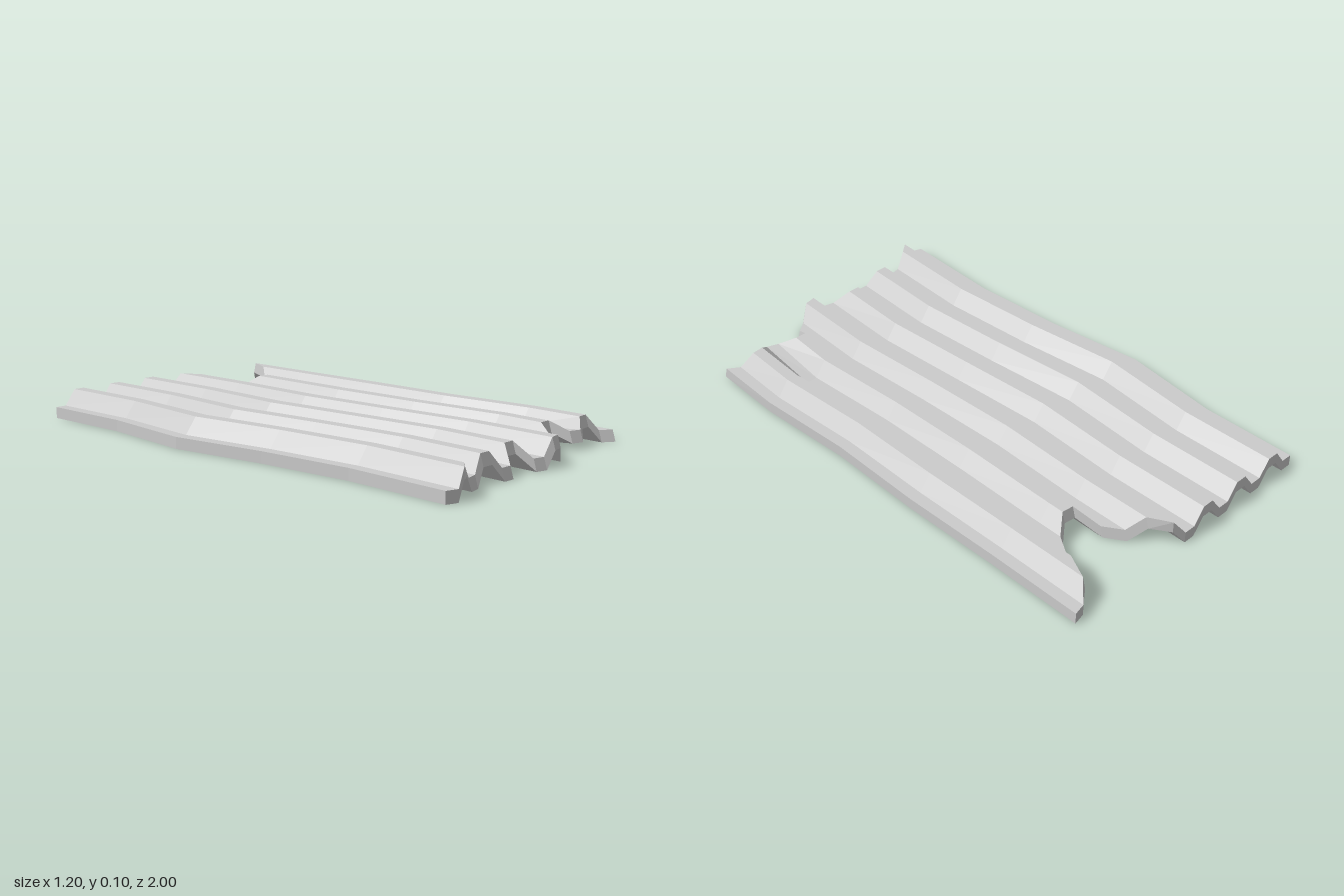
import * as THREE from 'three';

const COLS = 26, STEP = 0.0453, LEFT = -0.552;
const THICK = 0.044, RISE = 0.061;

// Broken ends: z of each fold line at the back and at the front
const backZ = [-1, -1, -1, -1, -1, -1, -1, -1, -1, -1, -1, -1, -1, -1,
  -0.98, -0.91, -0.86, -0.79, -0.70, -0.695, -0.73, -0.80, -0.86, -0.955, -0.99, -1];
const frontZ = [0.985, 1, 0.985, 0.96, 0.945, 0.935, 0.92, 0.92, 0.94, 0.94, 0.88, 0.88, 0.935,
  0.945, 0.945, 0.935, 0.905, 0.87, 0.77, 0.77, 0.83, 0.845, 0.81, 0.805, 0.835, 0.865];

// Sideways bends along the length: [z, shift at left edge, shift at right edge]
const bends = [[-1, 0, 0], [-0.62, 0, 0], [-0.22, -0.05, 0.006], [0.17, -0.004, -0.004],
  [0.56, 0.016, 0.016], [1, -0.008, 0.002]];

function createSheet() {
  const positions = [], index = [];
  const ring = COLS * 2, last = bends.length - 1;

  // Closed cross-sections: upper skin left to right, lower skin right to left
  bends.forEach(([z0, l, r], j) => {
    for (let k = 0; k < ring; k++) {
      const upper = k < COLS;
      const i = upper ? k : ring - 1 - k;
      const ridge = i % 4 > 1;
      let y = (ridge ? RISE : 0) + (upper ? THICK : 0);
      let z = z0;
      if (j === 0) z = backZ[i] + (upper && i > 14 && i < 24 ? 0.012 : 0);
      if (j === last) {
        z = frontZ[i] - (upper && i > 2 ? 0.014 : 0);
        if (i === 20 || i === 21) y += 0.024; // valley bent upward at the torn end
      }
      const x = LEFT + i * STEP + THREE.MathUtils.lerp(l, r, i / (COLS - 1));
      positions.push(x, y, z);
    }
  });

  const quad = (a, b, c, d) => index.push(a, b, c, a, c, d);
  for (let j = 0; j < last; j++) {
    for (let k = 0; k < ring; k++) {
      const n = (k + 1) % ring, a = j * ring, b = a + ring;
      quad(a + k, b + k, b + n, a + n);
    }
  }
  // End faces across the thickness
  for (let i = 0; i < COLS - 1; i++) {
    const lower = ring - 1 - i, f = last * ring;
    quad(f + lower, f + lower - 1, f + i + 1, f + i);
    quad(i, i + 1, lower - 1, lower);
  }

  const indexed = new THREE.BufferGeometry();
  indexed.setAttribute('position', new THREE.Float32BufferAttribute(positions, 3));
  indexed.setIndex(index);
  const geometry = indexed.toNonIndexed();
  geometry.computeVertexNormals();
  return geometry;
}

export function createModel() {
  const group = new THREE.Group();
  group.name = 'corrugatedPanel';
  const material = new THREE.MeshStandardMaterial({ color: 0xcccccc, flatShading: true });
  const sheet = new THREE.Mesh(createSheet(), material);
  sheet.name = 'corrugatedSheet';
  group.add(sheet);
  return group;
}
